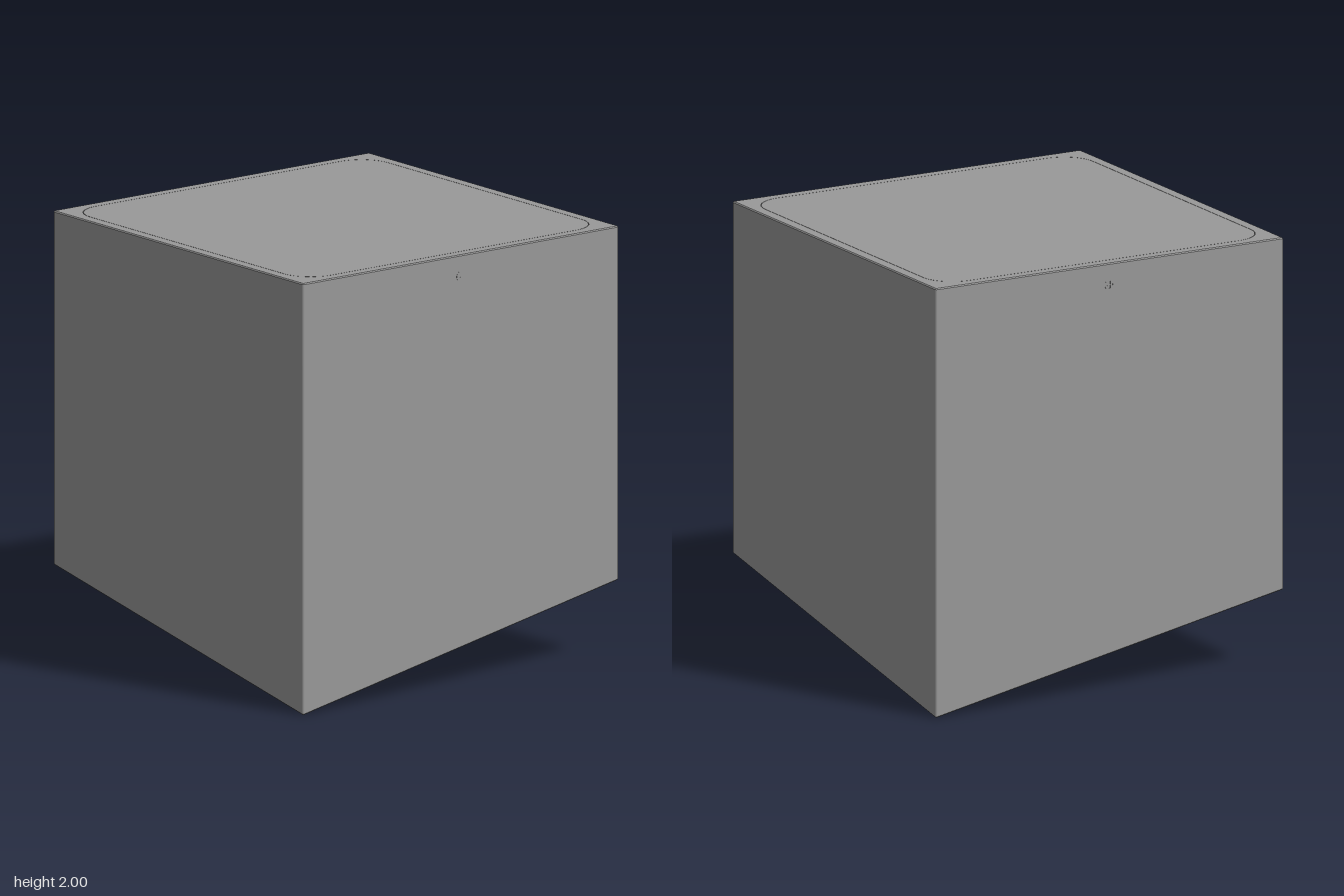
import * as THREE from 'three';
import { toCreasedNormals } from 'three/addons/utils/BufferGeometryUtils.js';

const HALF = 0.908, INNER = 0.855, RADIUS = 0.15, BEVEL = 0.005;
const bodyMaterial = new THREE.MeshStandardMaterial({ color: 0x999999 });
const panelMaterial = new THREE.MeshStandardMaterial({ color: 0xcccccc });

// Rounded square in plan, as [x, z] points; a support point just before and
// after each corner keeps the straight sides flatly shaded
function roundedSquare(half, r, steps = 10) {
  const points = [], support = 0.01;
  for (let corner = 0; corner < 4; corner++) {
    const start = corner * Math.PI / 2, mid = start + Math.PI / 4;
    const cx = Math.sign(Math.cos(mid)) * (half - r);
    const cz = Math.sign(Math.sin(mid)) * (half - r);
    const c = Math.cos(start), s = Math.sin(start);
    points.push([cx + r * c + support * s, cz + r * s - support * c]);
    for (let i = 0; i <= steps; i++) {
      const a = start + i / steps * Math.PI / 2;
      points.push([cx + r * Math.cos(a), cz + r * Math.sin(a)]);
    }
    points.push([cx - r * s - support * c, cz + r * c - support * s]);
  }
  return points;
}

// Height of the slanted lower edge: two opposite corners low, two high
function rimHeight(x, z) {
  return 0.18 * (1 - x * z / (Math.max(Math.abs(x), Math.abs(z)) * (HALF - BEVEL)));
}

// Skin of quads through a list of [half, radius, height rule] rings
function skin(rings) {
  const loops = rings.map(([half, r, height]) =>
    roundedSquare(half, r).map(([x, z]) => [x, height(x, z), z]));
  const n = loops[0].length;
  const index = [];
  for (let i = 0; i < loops.length - 1; i++) {
    for (let j = 0; j < n; j++) {
      const a = i * n + j, b = i * n + (j + 1) % n;
      index.push(a, b, a + n, b, b + n, a + n);
    }
  }
  const geometry = new THREE.BufferGeometry();
  geometry.setAttribute('position', new THREE.Float32BufferAttribute(loops.flat(2), 3));
  geometry.setIndex(index);
  return toCreasedNormals(geometry, 0.5);
}

// Flat rounded plate lying between two heights
function plate(half, r, bottom, top) {
  const shape = new THREE.Shape(roundedSquare(half, r).map(([x, z]) => new THREE.Vector2(x, z)));
  const geometry = new THREE.ExtrudeGeometry(shape, { depth: top - bottom, bevelEnabled: false });
  geometry.rotateX(-Math.PI / 2).translate(0, bottom, 0);
  return toCreasedNormals(geometry, 0.5);
}

// Round screw head with a cross recess, facing +x
function screwGeometry() {
  const shape = new THREE.Shape().absarc(0, 0, 0.025, 0, Math.PI * 2);
  const l = 0.016, w = 0.003;
  shape.holes.push(new THREE.Path([
    [l, w], [w, w], [w, l], [-w, l], [-w, w], [-l, w],
    [-l, -w], [-w, -w], [-w, -l], [w, -l], [w, -w], [l, -w],
  ].map(([x, y]) => new THREE.Vector2(x, y))));
  const geometry = new THREE.ExtrudeGeometry(shape, { depth: 0.004, bevelEnabled: false, curveSegments: 24 });
  return toCreasedNormals(geometry.rotateY(Math.PI / 2), 0.5);
}

export function createModel() {
  const group = new THREE.Group();
  const add = (name, geometry, material = bodyMaterial) => {
    const mesh = new THREE.Mesh(geometry, material);
    mesh.name = name;
    group.add(mesh);
    return mesh;
  };
  const at = (y) => () => y;

  // Housing: lid ledge, top rim, outer walls, slanted lower rim, inner walls
  add('housing', skin([
    [INNER - 0.03, RADIUS - 0.03, at(1.97)],
    [INNER, RADIUS, at(1.97)],
    [INNER, RADIUS, at(2)],
    [HALF - BEVEL, 0.003, at(2)],
    [HALF, 0.008, at(2 - BEVEL)],
    [HALF, 0.008, (x, z) => rimHeight(x, z) + BEVEL],
    [HALF - BEVEL, 0.003, rimHeight],
    [INNER, RADIUS, rimHeight],
    [INNER, RADIUS, at(0.45)],
  ]));

  // Lid with a fine seam, and the lighter recessed panel underneath
  add('topLid', plate(INNER - 0.002, RADIUS - 0.002, 1.9, 2));
  add('bottomPanel', plate(INNER, RADIUS, 0.42, 0.5), panelMaterial);

  // One almost flush screw on each side wall
  for (const side of [1, -1]) {
    const screw = add(side > 0 ? 'leftScrew' : 'rightScrew', screwGeometry());
    screw.position.set(side * (HALF - 0.003), 1.9, 0);
    screw.rotation.y = side > 0 ? 0 : Math.PI;
  }
  return group;
}
